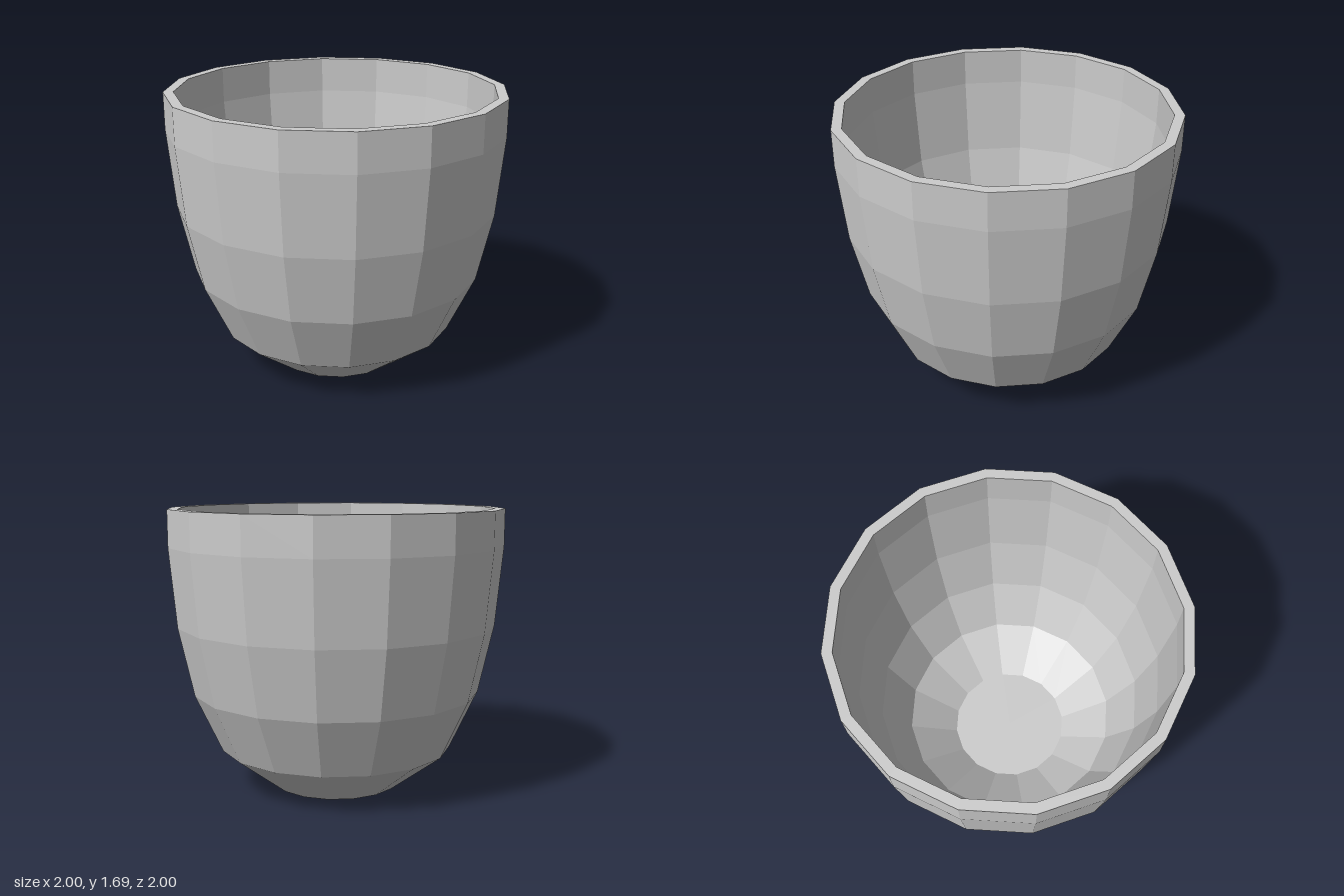
import * as THREE from 'three';

const SIDES = 16;

export function createModel() {
  const group = new THREE.Group();
  group.name = 'cup';

  // Closed wall section: up the outside, over the flat rim, down the inside
  const outer = [[0, 0], [0.385, 0], [0.705, 0.24], [0.867, 0.59], [0.957, 1.0], [1, 1.47], [1, 1.69]];
  const inner = [[0.94, 1.69], [0.94, 1.473], [0.898, 1.01], [0.809, 0.61], [0.655, 0.28], [0.365, 0.06], [0, 0.06]];
  const profile = [...outer, ...inner].map(([r, y]) => new THREE.Vector2(r, y));

  // Faceted bowl of the cup
  const bowl = new THREE.Mesh(
    new THREE.LatheGeometry(profile, SIDES),
    new THREE.MeshStandardMaterial({ color: 0xcccccc, flatShading: true })
  );
  bowl.name = 'bowl';
  group.add(bowl);

  return group;
}
